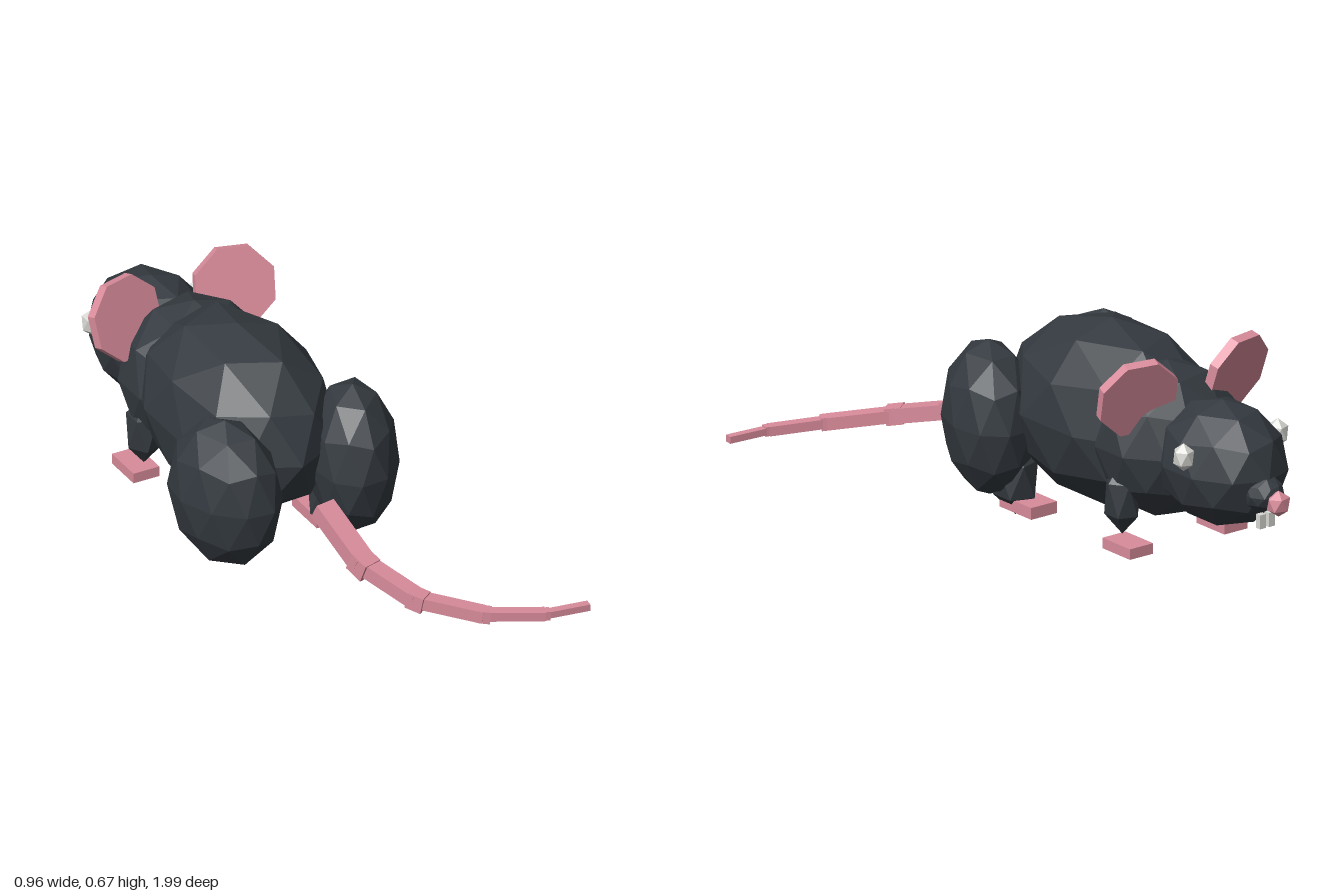
import * as THREE from 'three';

const MID = -0.115; // x of the body's mirror plane; the tail swings out to +x

export function createModel() {
  const model = new THREE.Group();
  model.name = 'rodent';

  const mat = (name, color) => {
    const m = new THREE.MeshStandardMaterial({ color, flatShading: true });
    m.name = name;
    return m;
  };
  const fur = mat('charcoal fur', 0x343a40);
  const pink = mat('pink skin', 0xd98c9b);
  const white = mat('off white', 0xd8d8d4);

  const add = (name, geometry, material, pos, rot = [0, 0, 0]) => {
    const mesh = new THREE.Mesh(geometry, material);
    mesh.name = name;
    mesh.position.set(...pos);
    mesh.rotation.set(...rot);
    model.add(mesh);
    return mesh;
  };

  // faceted ellipsoid with a vertex at its top and bottom poles
  const blob = (rx, ry, rz, detail = 1) =>
    new THREE.IcosahedronGeometry(1, detail)
      .rotateZ(-Math.atan(2 / (1 + Math.sqrt(5))))
      .scale(rx, ry, rz);

  // torso, head and muzzle
  add('body', blob(0.268, 0.297, 0.41), fur, [MID, 0.362, -0.15]);
  add('chest', blob(0.24, 0.25, 0.22), fur, [MID, 0.348, -0.42]);
  add('head', blob(0.185, 0.2, 0.23), fur, [MID, 0.345, -0.69]);
  add('snout', blob(0.065, 0.06, 0.08), fur, [MID, 0.3, -0.88]);
  add('nose', blob(0.042, 0.042, 0.036, 0), pink, [MID, 0.285, -0.964]);

  // paired parts, mirrored about the mid plane
  for (const s of [1, -1]) {
    const side = s > 0 ? 'left' : 'right';
    const x = (d) => MID + s * d;

    add(side + 'Tooth', new THREE.BoxGeometry(0.024, 0.045, 0.02), white, [x(0.017), 0.215, -0.9]);
    add(side + 'Eye', blob(0.035, 0.045, 0.037, 0), white, [x(0.183), 0.41, -0.73]);

    const ear = new THREE.CylinderGeometry(0.135, 0.135, 0.032, 8)
      .rotateX(Math.PI / 2)
      .rotateZ(Math.PI / 8 - s * 0.1);
    add(side + 'Ear', ear, pink, [x(0.19), 0.543, -0.512], [-0.3, -s * 0.22, 0]);

    add(side + 'Haunch', blob(0.142, 0.25, 0.2), fur, [x(0.222), 0.297, 0.172], [0, -s * 0.35, 0]);
    add(side + 'RearLeg', blob(0.075, 0.12, 0.08, 0), fur, [x(0.193), 0.12, 0.08]);
    add(side + 'RearFoot', new THREE.BoxGeometry(0.1, 0.038, 0.155), pink, [x(0.183), 0.045, 0.03]);
    add(side + 'FrontLeg', blob(0.06, 0.118, 0.065, 0), fur, [x(0.175), 0.192, -0.42]);
    add(side + 'FrontFoot', new THREE.BoxGeometry(0.09, 0.034, 0.135), pink, [x(0.183), 0.047, -0.457]);
  }

  // tail: straight box segments with a slightly thicker joint at each bend
  const path = [
    [-0.108, 0.275, 0.37], [-0.075, 0.168, 0.565], [0.008, 0.117, 0.755],
    [0.165, 0.089, 0.89], [0.335, 0.08, 0.965], [0.478, 0.077, 0.982],
  ].map((p) => new THREE.Vector3(...p));
  const width = [0.066, 0.056, 0.047, 0.036, 0.026];
  for (let i = 0; i < path.length - 1; i++) {
    const a = path[i], b = path[i + 1], w = width[i];
    const center = a.clone().add(b).multiplyScalar(0.5);
    const segment = add('tailSegment' + (i + 1),
      new THREE.BoxGeometry(w, w * 0.85, a.distanceTo(b)), pink, center.toArray());
    segment.lookAt(b);
    if (i > 0) {
      const j = w * 1.15;
      const joint = add('tailJoint' + i, new THREE.BoxGeometry(j, j, j), pink, a.toArray());
      joint.lookAt(a.clone().add(b.clone().sub(path[i - 1])));
    }
  }

  return model;
}
